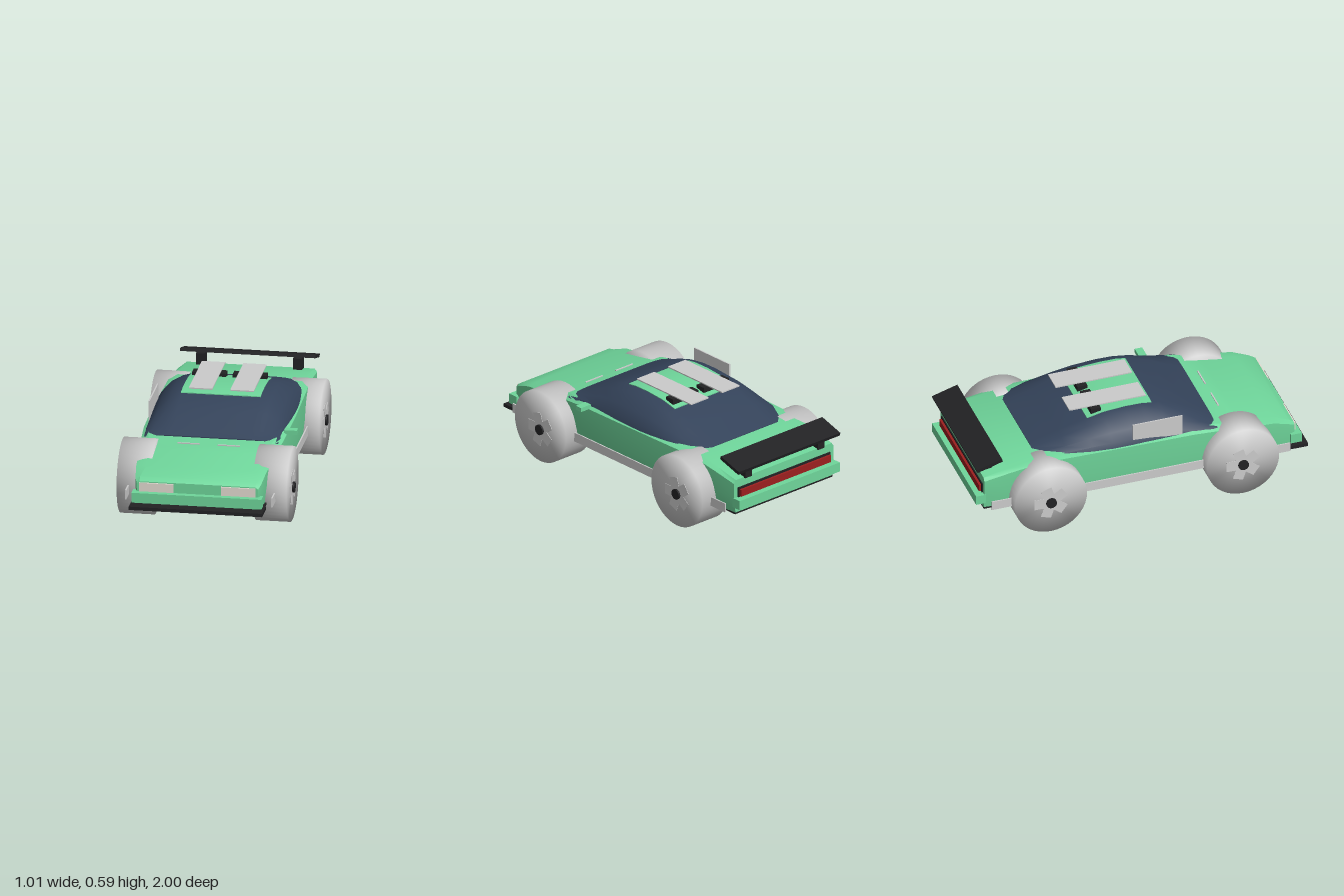
import * as THREE from 'three';
import { mergeVertices, toCreasedNormals } from 'three/addons/utils/BufferGeometryUtils.js';

const mat = (color) => new THREE.MeshStandardMaterial({ color });
const GREEN = mat(0x6fd69b), GLASS = mat(0x34435a), BLACK = mat(0x222224);
const RED = mat(0x9c1f1f), LAMP = mat(0xe4dcd2), GREY = mat(0xcccccc);

// Skin over mirrored half sections, listed from back to front: [z, [[x, y], ...]]
function loft(sections, crease) {
  const rings = sections.map(([z, half]) => [
    ...half.map(([x, y]) => [x, y, z]),
    ...half.slice().reverse().map(([x, y]) => [-x, y, z]),
  ]);
  const pos = [];
  const n = rings[0].length;
  for (let i = 0; i + 1 < rings.length; i++) {
    const a = rings[i], b = rings[i + 1];
    for (let j = 0; j < n; j++) {
      const k = (j + 1) % n;
      pos.push(...a[j], ...a[k], ...b[k], ...a[j], ...b[k], ...b[j]);
    }
  }
  const back = rings[0], front = rings[rings.length - 1];
  for (let j = 1; j + 1 < n; j++) {
    pos.push(...front[0], ...front[j], ...front[j + 1]);
    pos.push(...back[0], ...back[j + 1], ...back[j]);
  }
  const geo = new THREE.BufferGeometry();
  geo.setAttribute('position', new THREE.Float32BufferAttribute(pos, 3));
  return toCreasedNormals(geo, crease);
}

// Cabin outline: z, roof height, half width at the base
const CABIN = [
  [-0.62, 0.432, 0.345], [-0.45, 0.49, 0.385], [-0.3, 0.539, 0.4], [-0.18, 0.565, 0.407],
  [-0.05, 0.574, 0.408], [0.05, 0.573, 0.406], [0.15, 0.559, 0.402], [0.25, 0.526, 0.4],
  [0.38, 0.464, 0.395], [0.455, 0.43, 0.385],
];
function roofHeight(z) {
  const i = Math.max(1, CABIN.findIndex((c) => c[0] >= z));
  const [z0, y0] = CABIN[i - 1], [z1, y1] = CABIN[i];
  return y0 + ((y1 - y0) * (z - z0)) / (z1 - z0);
}

export function createModel() {
  const car = new THREE.Group();
  car.name = 'raceCar';

  const add = (name, geo, material, parent = car) => {
    const mesh = new THREE.Mesh(geo, material);
    mesh.name = name;
    parent.add(mesh);
    return mesh;
  };
  // Box given by its low and high limits on each axis
  const box = (name, material, [x0, x1], [y0, y1], [z0, z1], parent = car) => {
    const m = add(name, new THREE.BoxGeometry(x1 - x0, y1 - y0, z1 - z0), material, parent);
    m.position.set((x0 + x1) / 2, (y0 + y1) / 2, (z0 + z1) / 2);
    return m;
  };

  // Lower body: z, half width, half width of top, shoulder height, top height
  const body = [
    [-0.95, 0.383, 0.368, 0.355, 0.375], [-0.8, 0.393, 0.365, 0.388, 0.402],
    [-0.65, 0.395, 0.36, 0.41, 0.426], [-0.55, 0.403, 0.36, 0.42, 0.435],
    [0, 0.415, 0.38, 0.42, 0.435], [0.3, 0.412, 0.38, 0.415, 0.435],
    [0.45, 0.403, 0.36, 0.4, 0.425], [0.6, 0.39, 0.33, 0.378, 0.398],
    [0.8, 0.375, 0.315, 0.355, 0.364], [0.9, 0.362, 0.335, 0.318, 0.332],
    [0.93, 0.35, 0.335, 0.3, 0.312],
  ];
  add('body', loft(body.map(([z, w, top, ys, yt]) =>
    [z, [[w * 0.97, 0.17], [w, 0.27], [w, ys], [top, yt]]]), 0.5), GREEN);
  box('underbody', BLACK, [-0.375, 0.375], [0.162, 0.172], [-0.95, 0.9]);

  // Cabin glass and the green roof panel that follows it
  const base = 0.412;
  add('cabinGlass', loft(CABIN.map(([z, y, b]) => {
    const h = y - base;
    return [z, [[b, base], [b * 0.965, base + h * 0.28], [b * 0.87, base + h * 0.56],
      [b * 0.71, base + h * 0.89], [b * 0.56, y]]];
  }), 0.6), GLASS);
  add('roofPanel', loft([-0.28, -0.18, -0.05, 0.05, 0.11].map((z) => {
    const y = roofHeight(z);
    return [z, [[0.23, y - 0.02], [0.23, y + 0.003], [0.21, y + 0.005]]];
  }), 0.5), GREEN);

  // Nose and tail
  box('frontSplitter', BLACK, [-0.385, 0.385], [0.16, 0.18], [0.87, 1.0]);
  box('frontBumper', GREEN, [-0.375, 0.375], [0.193, 0.252], [0.9, 0.965]);
  box('rearBumper', GREEN, [-0.385, 0.385], [0.208, 0.265], [-1.0, -0.94]);
  box('tailPanel', BLACK, [-0.355, 0.355], [0.262, 0.325], [-0.956, -0.94]);
  box('tailLight', RED, [-0.345, 0.345], [0.27, 0.312], [-0.97, -0.95]);

  // Rear wing, tipped down to the back
  const wing = box('rearWing', BLACK, [-0.39, 0.39], [0.453, 0.473], [-1.0, -0.84]);
  wing.rotation.x = -0.29;

  for (const s of [1, -1]) {
    const span = (a, b) => (s > 0 ? [a, b] : [-b, -a]);
    box('headlight', LAMP, span(0.137, 0.335), [0.255, 0.306], [0.91, 0.94]);
    box('wingSupport', BLACK, span(0.255, 0.305), [0.37, 0.455], [-0.96, -0.875]);
    box('sideStripe', GREY, span(0.418, 0.426), [0.18, 0.235], [-0.92, 0.88]);
    box('hoodVent', GREY, span(0.05, 0.18), [0.405, 0.416], [0.526, 0.534]);
    box('roofClamp', BLACK, span(0.02, 0.215), [0.555, 0.587], [-0.25, -0.19]);
    box('roofStripe', GREY, span(0.052, 0.187), [0.586, 0.593], [-0.37, 0.09]);
  }

  // Wing mirror on one side, window net on the other
  box('wingMirror', GREEN, [0.395, 0.47], [0.415, 0.44], [0.25, 0.295]);
  box('windowNet', GREY, [-0.396, -0.388], [0.42, 0.552], [-0.06, 0.24]);

  // Wheels: smooth shaded drums with a spoked rim and a dark hub
  let tyre = new THREE.CylinderGeometry(0.217, 0.217, 0.195, 40);
  tyre.deleteAttribute('normal');
  tyre.deleteAttribute('uv');
  tyre = mergeVertices(tyre);
  tyre.computeVertexNormals();
  tyre.rotateZ(-Math.PI / 2);
  const hubGeo = new THREE.CylinderGeometry(0.031, 0.031, 0.03, 20).rotateZ(Math.PI / 2);
  const spokeGeo = new THREE.BoxGeometry(0.006, 0.1, 0.065).translate(0, 0.05, 0);

  for (const s of [1, -1]) {
    for (const [z, end] of [[0.572, 'front'], [-0.585, 'rear']]) {
      const wheel = new THREE.Group();
      wheel.name = end + 'Wheel';
      wheel.position.set(s * 0.3925, 0.218, z);
      wheel.rotation.y = s > 0 ? 0 : Math.PI;
      car.add(wheel);
      add('tyre', tyre, GREY, wheel);
      const rim = new THREE.Group();
      rim.name = 'rim';
      rim.position.set(0.097, -0.018, 0);
      wheel.add(rim);
      for (let i = 0; i < 5; i++) {
        add('spoke', spokeGeo, GREY, rim).rotation.x = (i * 2 * Math.PI) / 5 + 0.3;
      }
      add('hub', hubGeo, BLACK, rim);
    }
  }
  return car;
}
